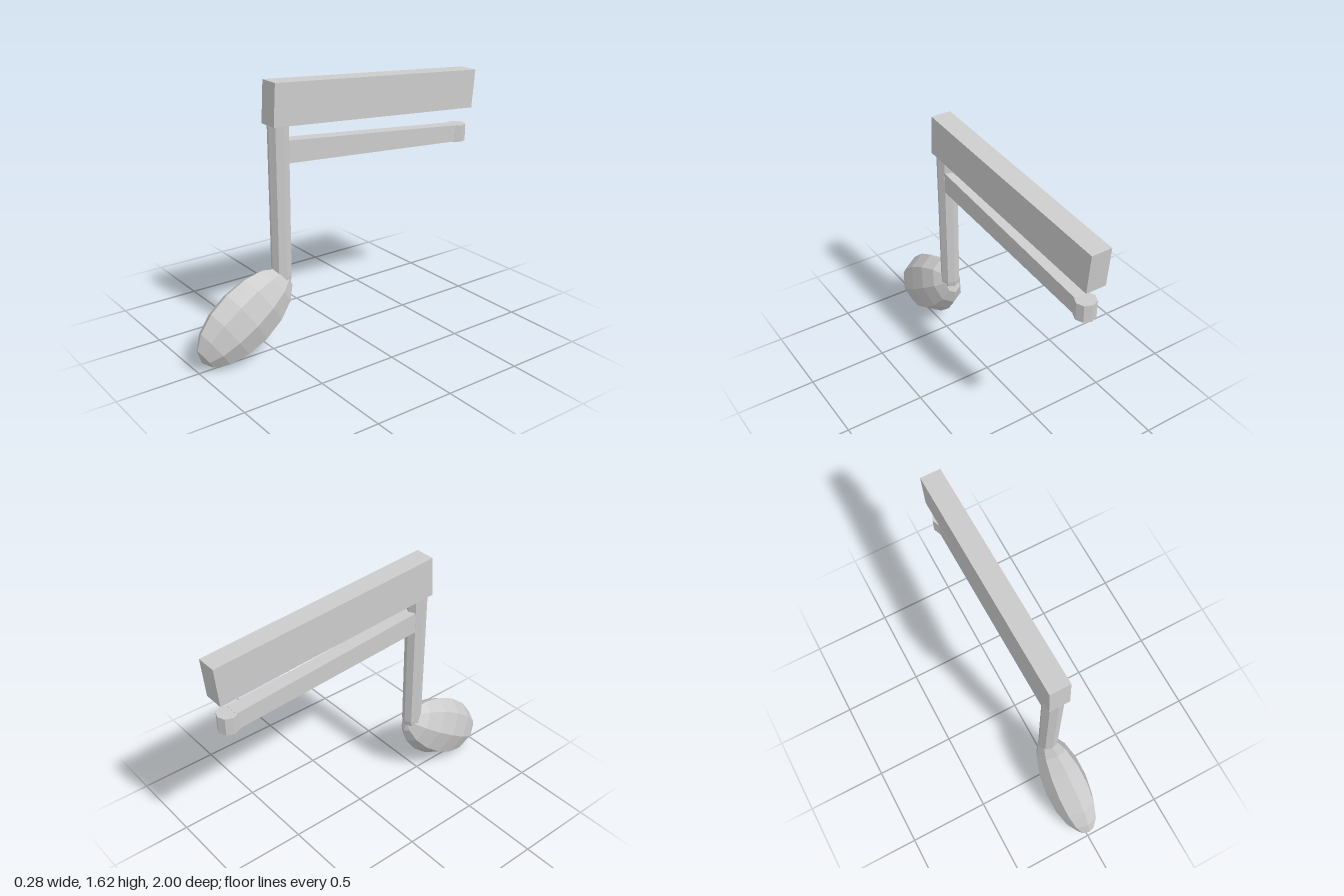
import * as THREE from 'three';

const material = new THREE.MeshStandardMaterial({ color: 0xcccccc, flatShading: true });

export function createModel() {
  const group = new THREE.Group();
  const add = (name, geometry) => {
    const mesh = new THREE.Mesh(geometry, material);
    mesh.name = name;
    group.add(mesh);
  };

  // Side outline given as (z, y) corners, extruded evenly across x
  const slab = (corners, width) => {
    const shape = new THREE.Shape(corners.map(([z, y]) => new THREE.Vector2(z, y)));
    return new THREE.ExtrudeGeometry(shape, { depth: width, bevelEnabled: false })
      .translate(0, 0, -width / 2)
      .rotateY(-Math.PI / 2);
  };

  // Note head: tilted, flattened ellipsoid
  add('noteHead', new THREE.SphereGeometry(1, 8, 8)
    .scale(0.14, 0.355, 0.206)
    .rotateX(-0.977)
    .translate(0, 0.26, 0.685));

  // Stem: eight-sided, its foot bending forward into the head
  const rings = [ // y, centre z, radius; top to bottom
    [1.4, 0.434, 0.063],
    [0.46, 0.432, 0.06],
    [0.28, 0.465, 0.057],
  ];
  const stem = new THREE.CylinderGeometry(1, 1, 2, 8, 2);
  const pos = stem.attributes.position;
  for (let i = 0; i < pos.count; i++) {
    const [y, z, r] = rings[1 - Math.round(pos.getY(i))];
    pos.setXYZ(i, pos.getX(i) * r, y, z + pos.getZ(i) * r);
  }
  add('stem', stem);

  // Upper beam
  add('upperBeam', slab([[0.5, 1.37], [0.486, 1.615], [-1, 1.51], [-0.98, 1.27]], 0.126));

  // Lower beam, ending in a short eight-sided stub
  add('lowerBeam', slab([[0.4, 1.145], [0.4, 1.277], [-0.88, 1.165], [-0.88, 1.06]], 0.087));
  add('lowerBeamEnd', new THREE.CylinderGeometry(0.062, 0.062, 0.107, 8)
    .translate(0, 1.11, -0.909));

  return group;
}
